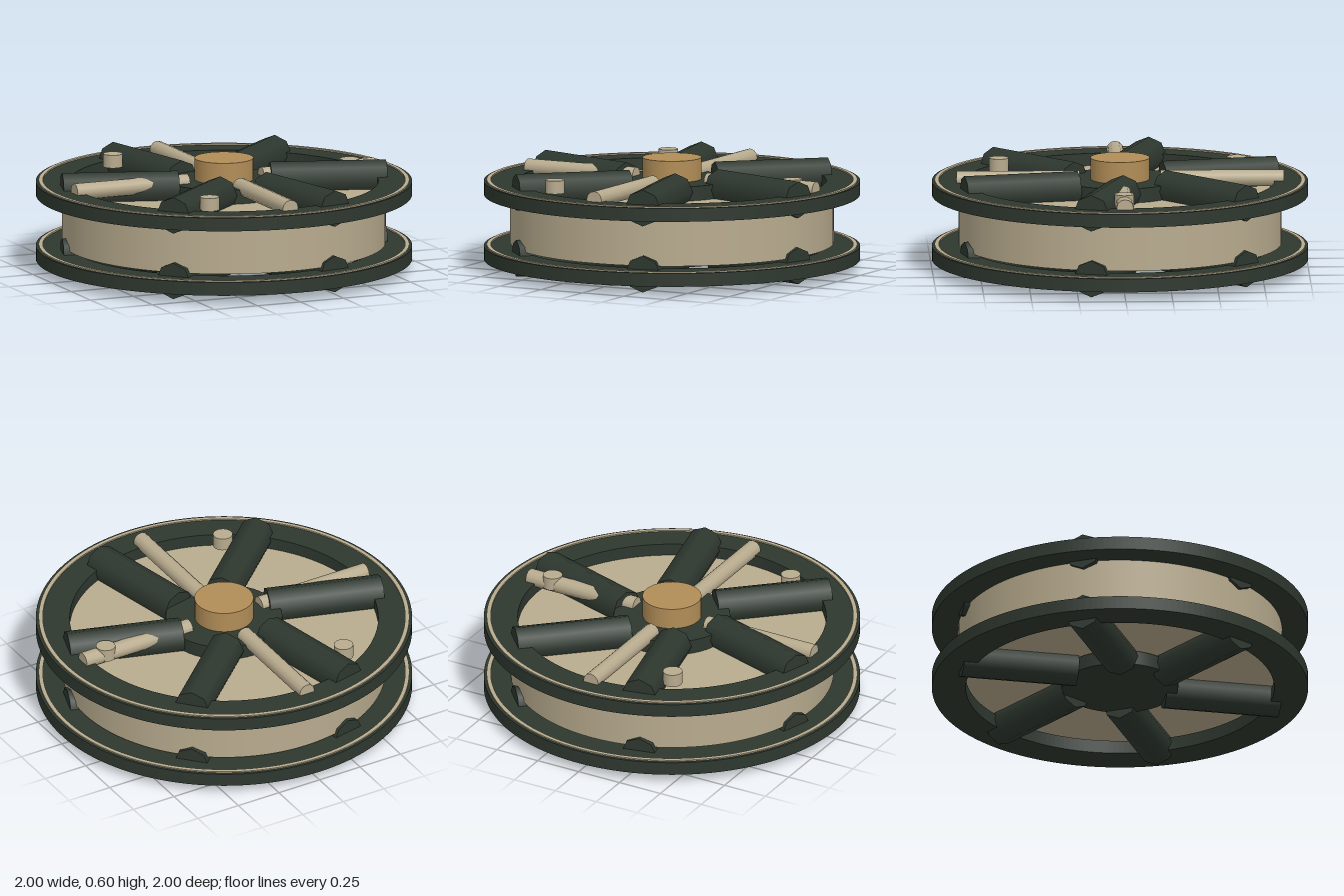
import * as THREE from 'three';

const darkGreen = new THREE.MeshStandardMaterial({ color: 0x2e382f });
const cream = new THREE.MeshStandardMaterial({ color: 0xb8ab8e });
const brass = new THREE.MeshStandardMaterial({ color: 0xb18d57 });

export function createModel() {
  const model = new THREE.Group();

  function add(name, geometry, material, x = 0, y = 0, z = 0) {
    const mesh = new THREE.Mesh(geometry, material);
    mesh.name = name;
    mesh.position.set(x, y, z);
    model.add(mesh);
    return mesh;
  }

  // Upright cylinder between two heights
  function disc(name, radius, y0, y1, material, x = 0, z = 0, sides = 64) {
    return add(name, new THREE.CylinderGeometry(radius, radius, y1 - y0, sides), material, x, (y0 + y1) / 2, z);
  }

  // Flat ring with a rectangular section
  function ring(name, inner, outer, y0, y1, material) {
    const shape = new THREE.Shape().absarc(0, 0, outer, 0, Math.PI * 2, false);
    shape.holes.push(new THREE.Path().absarc(0, 0, inner, 0, Math.PI * 2, true));
    const geometry = new THREE.ExtrudeGeometry(shape, { depth: y1 - y0, bevelEnabled: false, curveSegments: 96 });
    geometry.rotateX(-Math.PI / 2);
    return add(name, geometry, material, 0, y0, 0);
  }

  // Horizontal bar: centre at polar position, pointing along its own heading
  function bar(name, radius, length, sides, material, distance, angle, heading, y) {
    const geometry = new THREE.CylinderGeometry(radius, radius, length, sides);
    geometry.rotateZ(-Math.PI / 2);
    const mesh = add(name, geometry, material, Math.cos(angle) * distance, y, Math.sin(angle) * distance);
    mesh.rotation.y = -heading;
    return mesh;
  }

  // Drum between the flanges
  disc('drum', 0.86, 0.142, 0.408, cream, 0, 0, 96);

  // Flanges with a trim line on top, a hub plate and slanted spokes
  const sides = [
    { label: 'lower', y: 0.053, spokeY: 0.1, hubTop: 0.13 },
    { label: 'upper', y: 0.402, spokeY: 0.455, hubTop: 0.485 },
  ];
  for (const { label, y, spokeY, hubTop } of sides) {
    ring(label + 'Flange', 0.82, 1, y, y + 0.072, darkGreen);
    ring(label + 'Trim', 0.963, 0.985, y + 0.07, y + 0.079, cream);
    disc(label + 'Hub', 0.31, y, hubTop, darkGreen, 0, 0, 48);
    for (let i = 0; i < 6; i++) {
      const angle = 0.15 + i * Math.PI / 3;
      bar(label + 'Spoke', 0.098, 0.62, 8, darkGreen, 0.573, angle, angle + 0.16, spokeY);
    }
  }

  // Thin cross rods on the upper side
  for (let i = 0; i < 4; i++) {
    const angle = i * Math.PI / 2;
    bar('crossRod', 0.045, 0.655, 12, cream, 0.543, angle, angle, 0.485);
  }

  // Short pegs
  for (let i = 0; i < 3; i++) {
    const angle = i * Math.PI * 2 / 3;
    disc('peg', 0.052, 0.465, 0.535, cream, Math.cos(angle) * 0.73, Math.sin(angle) * 0.73, 20);
  }

  // Centre cap
  disc('centreCap', 0.157, 0.44, 0.6, brass, 0, 0, 40);

  return model;
}
